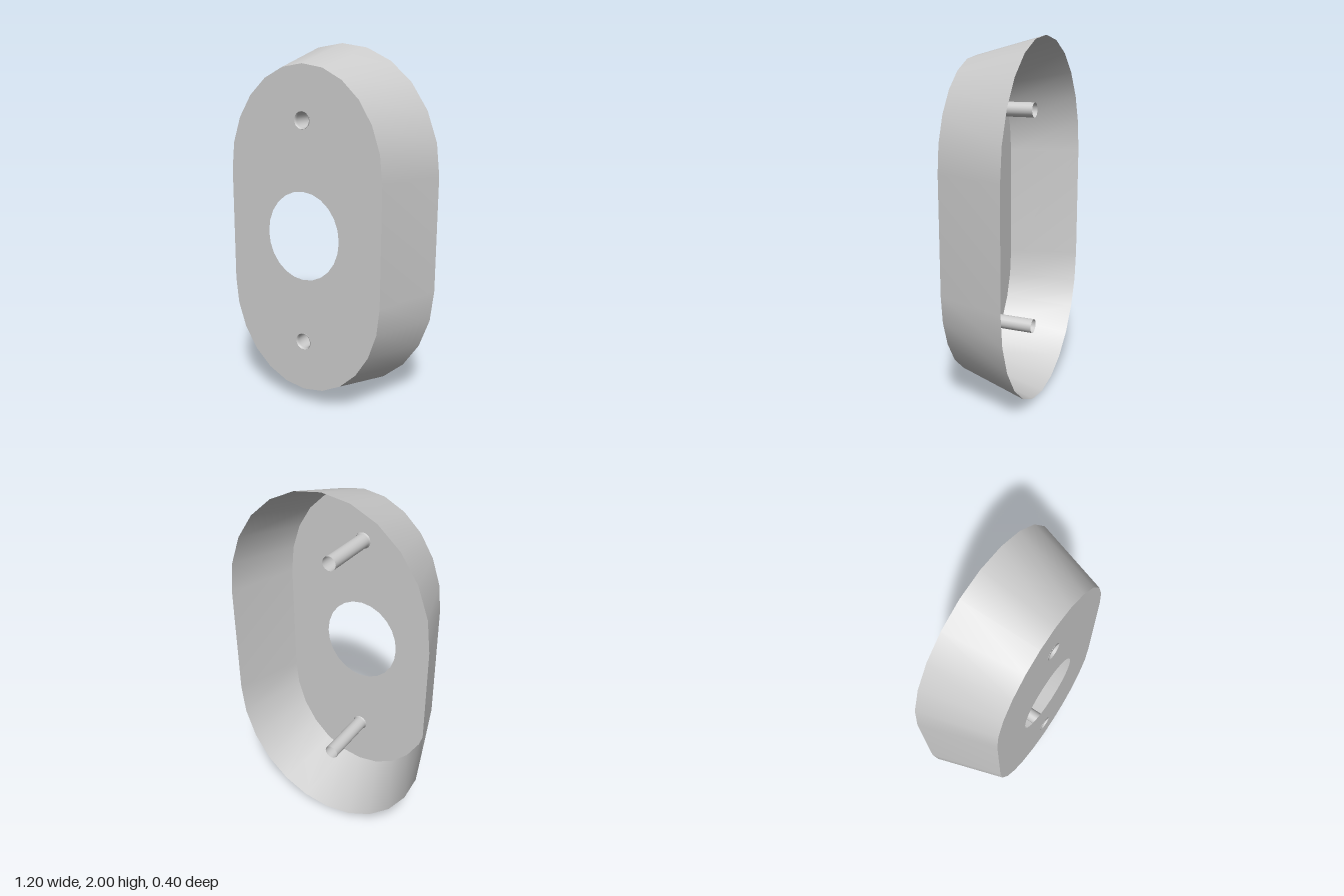
import * as THREE from 'three';

const material = new THREE.MeshStandardMaterial({ color: 0xcccccc, side: THREE.DoubleSide });
const BACK = -0.2, FACE = 0.195, LIP = 0.2;

// Stretched oval: two half ellipses joined by straight sides, counter-clockwise
function ovalPoints(rx, ry, halfStraight) {
  const points = [];
  for (const end of [0, 1]) {
    for (let i = 0; i <= 12; i++) {
      const a = Math.PI * (end + i / 12);
      points.push(new THREE.Vector2(rx * Math.cos(a), 1 + (end ? -halfStraight : halfStraight) + ry * Math.sin(a)));
    }
  }
  return points;
}

function ellipseHole(x, y, rx, ry, sides) {
  const points = [];
  for (let i = 0; i < sides; i++) {
    const a = (i / sides) * Math.PI * 2;
    points.push(new THREE.Vector2(x + rx * Math.cos(a), y + ry * Math.sin(a)));
  }
  return new THREE.Path(points);
}

// Thin band between two outlines
function bandGeometry(back, front) {
  const n = back.length, positions = [], index = [];
  back.forEach(p => positions.push(p.x, p.y, BACK));
  front.forEach(p => positions.push(p.x, p.y, FACE));
  for (let i = 0; i < n; i++) {
    const j = (i + 1) % n;
    index.push(i, j, n + j, i, n + j, n + i);
  }
  const geometry = new THREE.BufferGeometry();
  geometry.setAttribute('position', new THREE.Float32BufferAttribute(positions, 3));
  geometry.setIndex(index);
  geometry.computeVertexNormals();
  return geometry;
}

export function createModel() {
  const group = new THREE.Group();
  group.name = 'coverPlate';
  const add = (name, geometry) => {
    const mesh = new THREE.Mesh(geometry, material);
    mesh.name = name;
    group.add(mesh);
    return mesh;
  };

  const rim = ovalPoints(0.6, 0.68, 0.32);
  const face = ovalPoints(0.472, 0.578, 0.322);
  const screwHeights = [1.615, 0.39];

  // Sloping side wall, open at the back
  add('sideWall', bandGeometry(rim, face));

  // Flat face with the central opening and two screw holes
  const shape = new THREE.Shape(face);
  shape.holes.push(ellipseHole(0, 0.995, 0.225, 0.245, 24));
  screwHeights.forEach(y => shape.holes.push(ellipseHole(0, y, 0.046, 0.046, 20)));
  add('frontFace', new THREE.ShapeGeometry(shape)).position.z = FACE;

  // Hollow screw sleeves with a small raised countersunk lip
  const profile = [[0.04, -0.14], [0.04, 0.185], [0.046, LIP], [0.047, FACE]].map(p => new THREE.Vector2(...p));
  screwHeights.forEach((y, i) => {
    const sleeve = new THREE.LatheGeometry(profile, 20).rotateX(Math.PI / 2);
    add(i ? 'lowerScrewSleeve' : 'upperScrewSleeve', sleeve).position.y = y;
  });

  return group;
}
